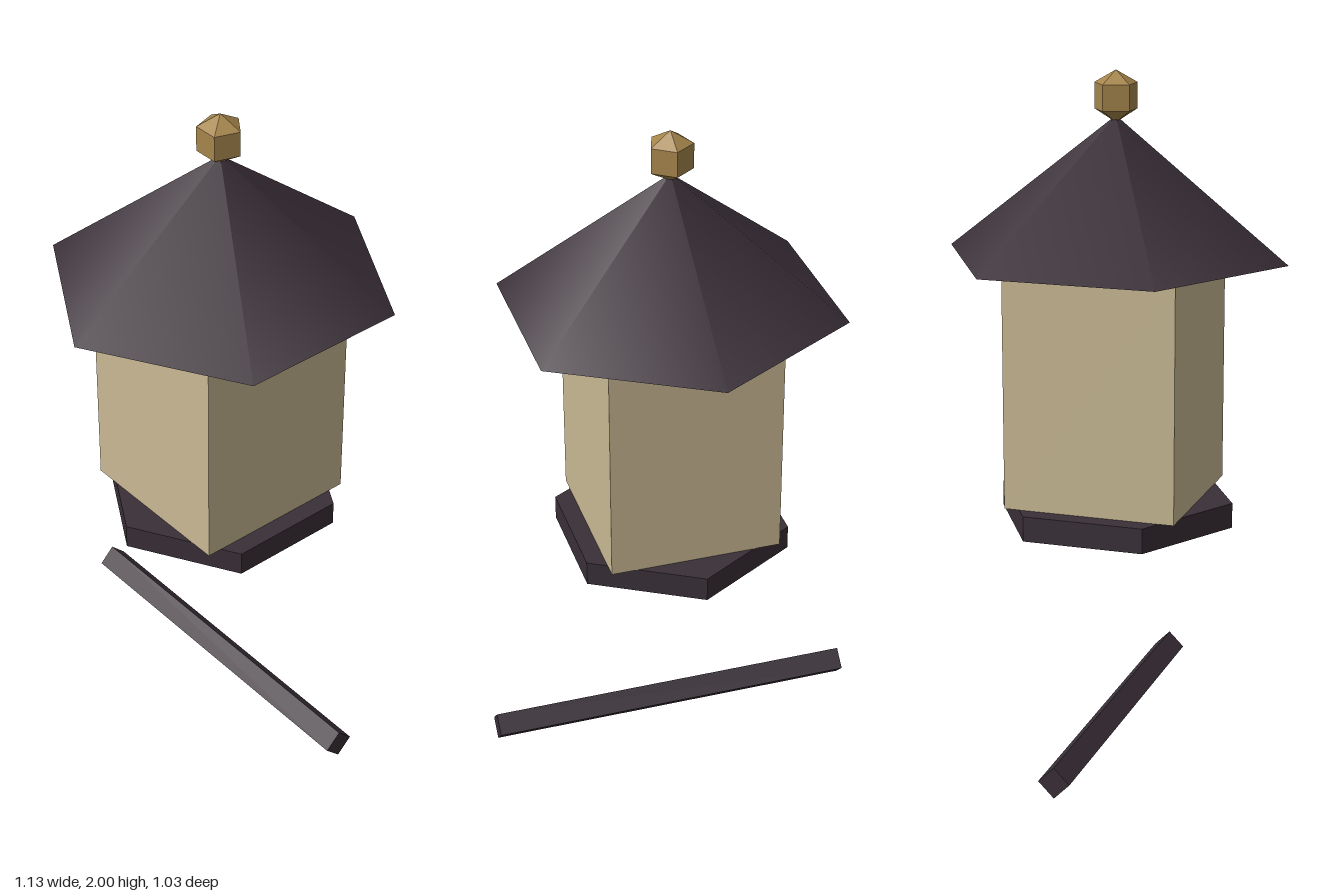
import * as THREE from 'three';

const darkWood = new THREE.MeshStandardMaterial({ name: 'dark wood', color: 0x3a2f38 });
const paper = new THREE.MeshStandardMaterial({ name: 'warm paper', color: 0xc9b993 });
const brass = new THREE.MeshStandardMaterial({ name: 'aged brass', color: 0xa5854b });

// Gives every face its own flat normal
function faceted(geometry) {
  const flat = geometry.toNonIndexed();
  flat.computeVertexNormals();
  return flat;
}

export function createModel() {
  const lantern = new THREE.Group();
  lantern.name = 'lantern';

  function add(name, geometry, material, y) {
    const mesh = new THREE.Mesh(geometry, material);
    mesh.name = name;
    mesh.position.y = y;
    lantern.add(mesh);
  }

  // Low crossbar, a square rod turned on its edge
  const bar = new THREE.CylinderGeometry(0.047, 0.047, 1.13, 4).rotateZ(Math.PI / 2);
  add('crossbar', faceted(bar), darkWood, 0.047);

  // Six-sided base plate
  add('basePlate', faceted(new THREE.CylinderGeometry(0.36, 0.36, 0.075, 6)), darkWood, 0.707);

  // Square paper body
  add('paperBody', new THREE.BoxGeometry(0.515, 0.72, 0.515), paper, 1.105);

  // Six-sided roof with smooth normals
  add('roof', new THREE.ConeGeometry(0.515, 0.405, 6), darkWood, 1.6675);

  // Five-sided finial with a corner pointing back
  const knob = new THREE.SphereGeometry(0.075, 5, 3).rotateY(-Math.PI / 2);
  add('finial', faceted(knob), brass, 1.925);

  return lantern;
}
